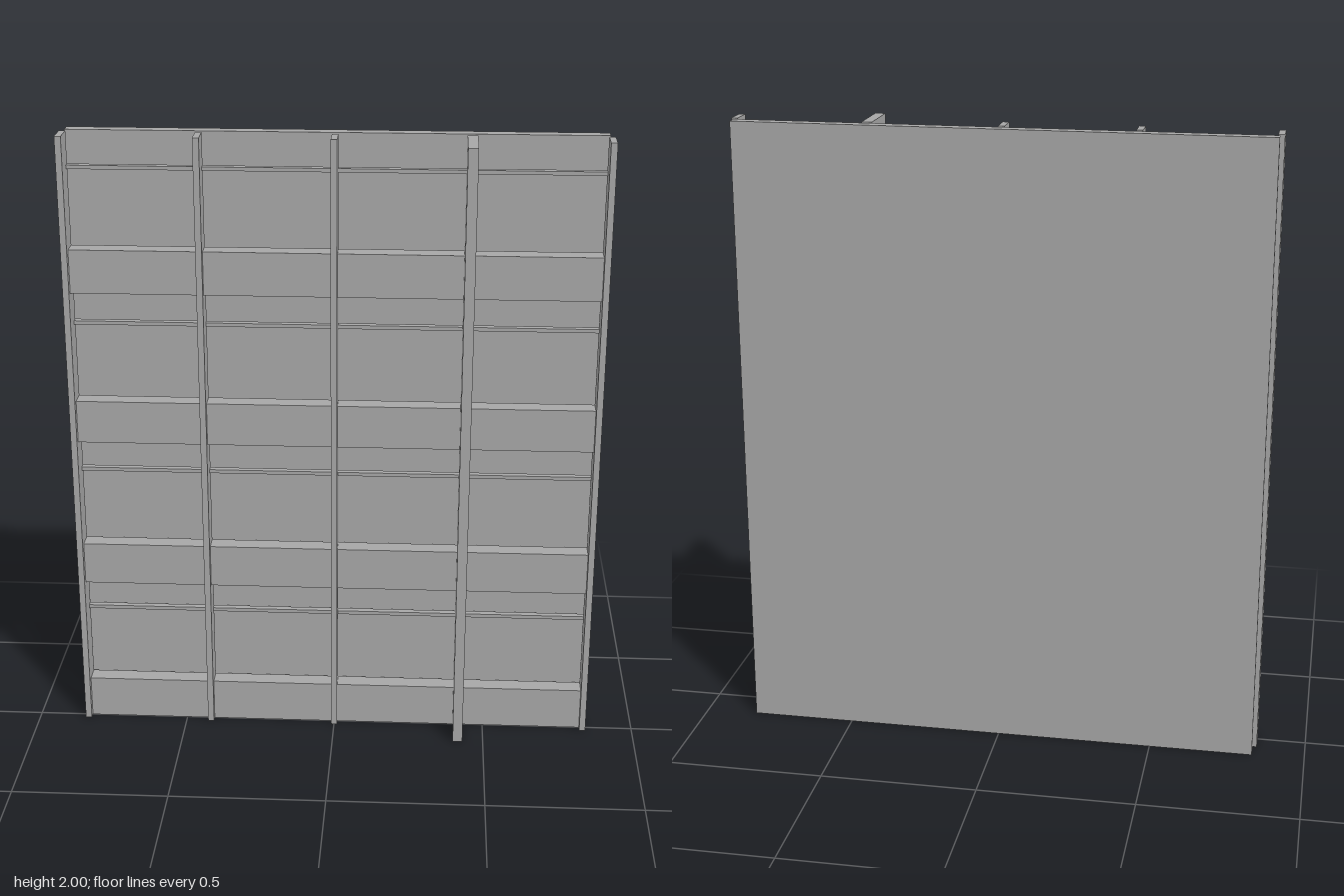
import * as THREE from 'three';

export function createModel() {
  const group = new THREE.Group();
  const grey = new THREE.MeshStandardMaterial({ color: 0xa6a6a6 });
  grey.name = 'plain grey';

  // Box given by its lower and upper limits on each axis
  function box(name, [x0, x1], [y0, y1], [z0, z1]) {
    const mesh = new THREE.Mesh(new THREE.BoxGeometry(x1 - x0, y1 - y0, z1 - z0), grey);
    mesh.position.set((x0 + x1) / 2, (y0 + y1) / 2, (z0 + z1) / 2);
    mesh.name = name;
    group.add(mesh);
  }

  const height = [0, 2];
  const back = -0.057;

  // Backing sheet, standing clear of the frame
  box('backPanel', [-0.832, 0.832], height, [-0.115, -0.076]);

  // Upright posts; one is thicker and projects further forward
  const posts = [
    { x: -0.835, w: 0.02, front: 0.022 },
    { x: -0.417, w: 0.02, front: 0.022 },
    { x: 0, w: 0.02, front: 0.022 },
    { x: 0.416, w: 0.032, front: 0.115 },
    { x: 0.835, w: 0.02, front: 0.022 },
  ];
  for (const p of posts) {
    box('post', [p.x - p.w / 2, p.x + p.w / 2], height, [back, p.front]);
  }

  // Wide boards and thin slats filling each bay between posts
  for (let i = 0; i < posts.length - 1; i++) {
    const a = posts[i], b = posts[i + 1];
    const span = [a.x + a.w / 2, b.x - b.w / 2];
    for (let row = 0; row < 4; row++) {
      const y = row * 0.5;
      box('board', span, [y, y + 0.14], [back, 0.001]);
      box('slat', span, [y + 0.386, y + 0.398], [back, -0.036]);
    }
  }
  return group;
}
